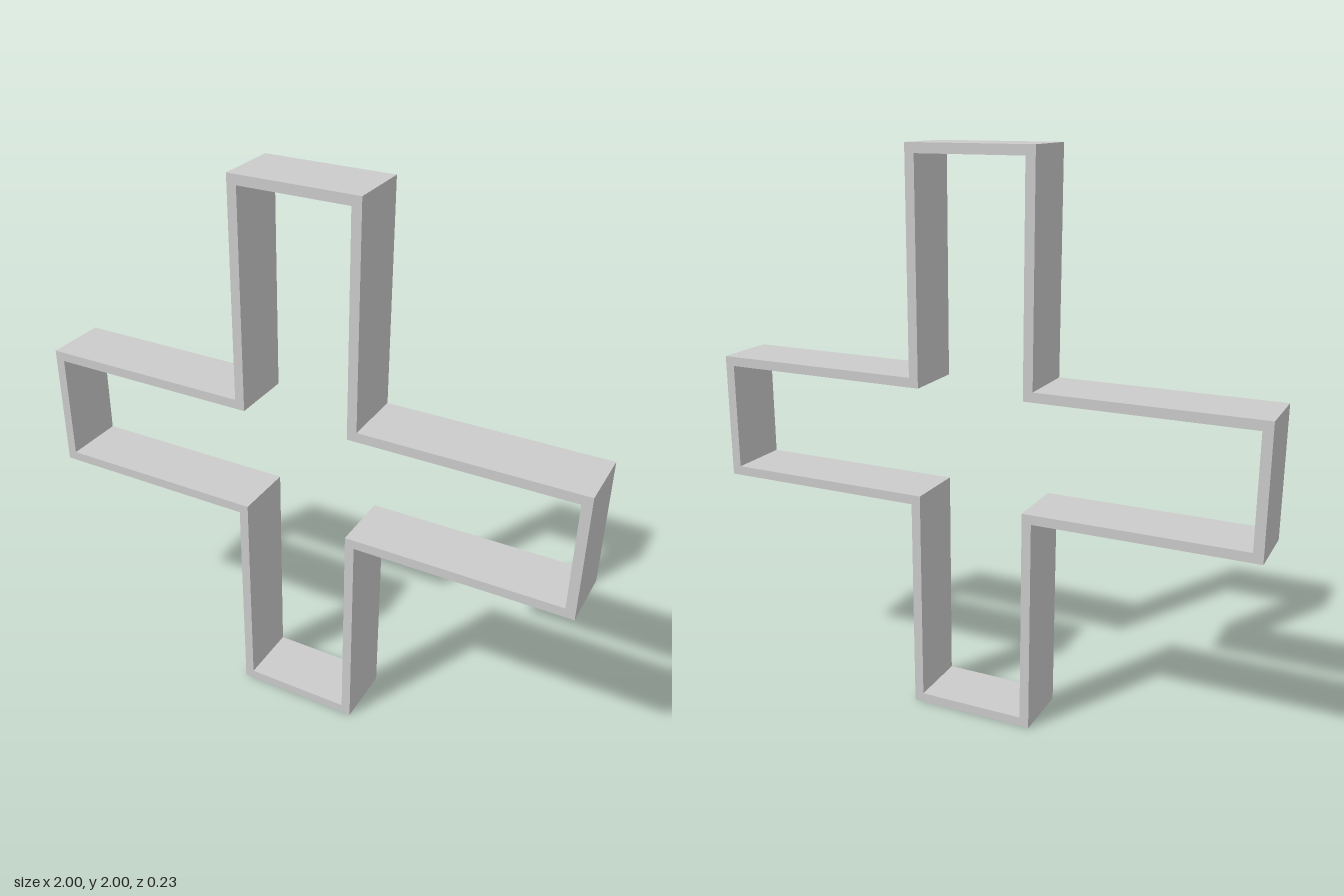
import * as THREE from 'three';

const REACH = 1;      // centre to the end of each arm
const HALF = 0.228;   // half the width of an arm
const WALL = 0.034;   // wall thickness
const DEPTH = 0.228;

// Outline of a plus sign: one corner triple turned through four quarters
function crossPoints(reach, half) {
  const points = [];
  for (let i = 0; i < 4; i++) {
    for (const [x, y] of [[reach, -half], [reach, half], [half, half]]) {
      points.push(new THREE.Vector2(x, y).rotateAround(new THREE.Vector2(), i * Math.PI / 2));
    }
  }
  return points;
}

export function createModel() {
  const group = new THREE.Group();
  group.name = 'crossFrame';

  // Hollow cross wall, open at front and back
  const shape = new THREE.Shape(crossPoints(REACH, HALF));
  shape.holes.push(new THREE.Path(crossPoints(REACH - WALL, HALF - WALL)));
  const geometry = new THREE.ExtrudeGeometry(shape, { depth: DEPTH, bevelEnabled: false });
  geometry.translate(0, REACH, -DEPTH / 2);

  const wall = new THREE.Mesh(geometry, new THREE.MeshStandardMaterial({ color: 0xcccccc }));
  wall.name = 'crossWall';
  group.add(wall);
  return group;
}
